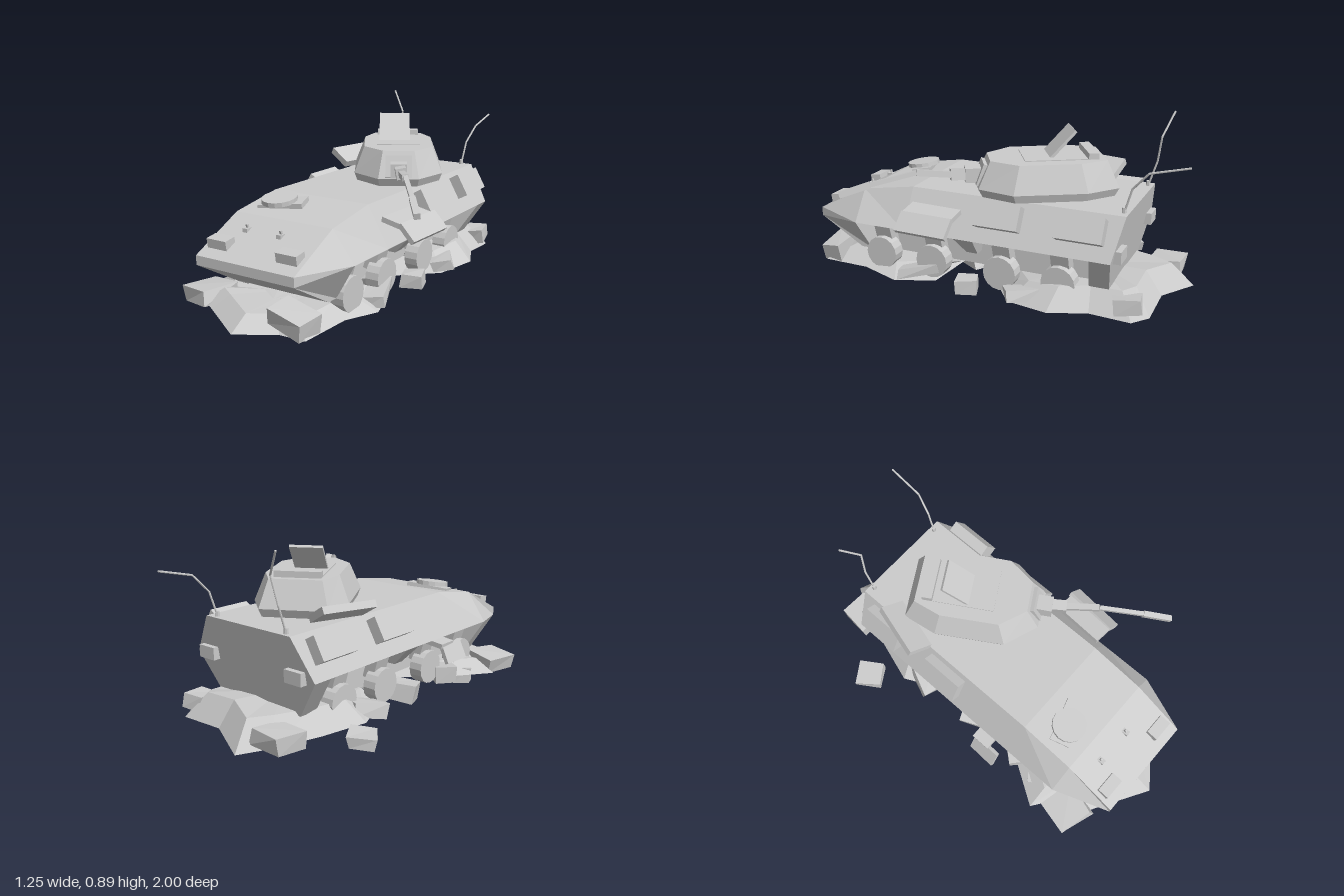
import * as THREE from 'three';

const mat = new THREE.MeshStandardMaterial({ color: 0xcccccc, flatShading: true, side: THREE.DoubleSide });

function add(parent, name, geo, pos = [0, 0, 0], rot = [0, 0, 0]) {
  const m = new THREE.Mesh(geo, mat);
  m.name = name;
  m.position.set(...pos);
  m.rotation.set(...rot);
  parent.add(m);
  return m;
}
const box = (w, h, d) => new THREE.BoxGeometry(w, h, d);

// Skin a row of closed loops; each loop is a list of [x, y, z]
function loft(loops, capStart = true, capEnd = true) {
  const p = [], n = loops[0].length;
  const tri = (a, b, c) => p.push(...a, ...b, ...c);
  for (let i = 0; i + 1 < loops.length; i++)
    for (let j = 0; j < n; j++) {
      const k = (j + 1) % n, A = loops[i], B = loops[i + 1];
      tri(A[j], A[k], B[k]);
      tri(A[j], B[k], B[j]);
    }
  const last = loops[loops.length - 1];
  for (let j = 1; j + 1 < n; j++) {
    if (capStart) tri(loops[0][0], loops[0][j + 1], loops[0][j]);
    if (capEnd) tri(last[0], last[j], last[j + 1]);
  }
  const g = new THREE.BufferGeometry();
  g.setAttribute('position', new THREE.Float32BufferAttribute(p, 3));
  g.computeVertexNormals();
  return g;
}

// Mirrored four-corner section: upper and lower [halfWidth, y, z]
const section = ([w1, y1, z1], [w2, y2, z2]) =>
  [[w1, y1, z1], [-w1, y1, z1], [-w2, y2, z2], [w2, y2, z2]];

// Bent rod made of straight pieces
function rod(parent, name, pts, radii, sides = 6) {
  const g = new THREE.Group();
  g.name = name;
  for (let i = 0; i + 1 < pts.length; i++) {
    const a = new THREE.Vector3(...pts[i]), b = new THREE.Vector3(...pts[i + 1]);
    const m = add(g, name + 'Piece', new THREE.CylinderGeometry(radii[i], radii[i], a.distanceTo(b), sides));
    m.position.copy(a).lerp(b, 0.5);
    m.quaternion.setFromUnitVectors(new THREE.Vector3(0, 1, 0), b.sub(a).normalize());
  }
  parent.add(g);
}

const noise = (n) => { const s = Math.sin(n * 12.9898) * 43758.5453; return s - Math.floor(s); };

// Broken block: box with uneven corners
function chunk(parent, seed, [x, y, z], [w, h, d], rot) {
  const g = box(1, 1, 1), p = g.attributes.position;
  for (let i = 0; i < p.count; i++) {
    const c = [p.getX(i), p.getY(i), p.getZ(i)];
    const id = seed * 8 + (c[0] > 0) * 4 + (c[1] > 0) * 2 + (c[2] > 0);
    p.setXYZ(i, ...[w, h, d].map((s, k) => c[k] * s * (0.8 + 0.3 * noise(id + k * 97))));
  }
  g.computeVertexNormals();
  add(parent, 'rubbleBlock', g, [x, y, z], rot);
}

// Open-bottomed mound with an uneven ridge, rising towards the back by slope
function mound(parent, name, outline, [cx, cz], height, slope, seed) {
  const ring = (s, y, v) => outline.map(([x, z], i) => {
    const dz = (z - cz) * s;
    return [cx + (x - cx) * s, (y + v * noise(seed + i)) * (1 - slope * dz), cz + dz];
  });
  add(parent, name, loft([ring(1, 0.025, 0.04), ring(0.76, height * 0.75, 0.04), ring(0.3, height * 0.85, 0.02)], false, true));
}

export function createModel() {
  const root = new THREE.Group();
  root.name = 'wreckedArmouredVehicle';

  const hull = new THREE.Group();
  hull.name = 'hull';
  hull.position.x = -0.02;
  root.add(hull);
  add(hull, 'upperHull', loft([
    section([0.27, 0.51, -0.735], [0.38, 0.315, -0.70]),
    section([0.27, 0.51, 0.35], [0.38, 0.315, 0.35]),
    section([0.27, 0.463, 0.635], [0.38, 0.315, 0.63]),
    section([0.27, 0.325, 0.91], [0.27, 0.28, 0.91]),
  ]));
  add(hull, 'lowerRear', loft([
    section([0.38, 0.315, -0.70], [0.26, 0.13, -0.667]),
    section([0.38, 0.315, -0.60], [0.26, 0.13, -0.57]),
  ]));
  add(hull, 'lowerNose', loft([
    section([0.38, 0.315, 0.63], [0.27, 0.14, 0.61]),
    section([0.27, 0.28, 0.91], [0.27, 0.14, 0.67]),
  ]));
  add(hull, 'lowerTub', box(0.4, 0.19, 1.22), [0, 0.222, 0.02]);

  // Wheels, struts and axles
  for (const z of [0.53, 0.24, -0.13, -0.43]) {
    for (const s of [-1, 1]) {
      add(hull, 'wheel', new THREE.CylinderGeometry(0.085, 0.085, 0.07, 16), [s * 0.272, 0.14, z], [0, 0, Math.PI / 2]);
      add(hull, 'strut', box(0.06, 0.15, 0.09), [s * 0.25, 0.24, z], [0, 0, -s * 0.3]);
    }
    add(hull, 'axle', new THREE.CylinderGeometry(0.025, 0.025, 0.54, 8), [0, 0.14, z], [0, 0, Math.PI / 2]);
  }

  // Side fittings, nose lamps, tow hooks and tail lamps
  for (const s of [-1, 1]) {
    for (const z of [-0.14, -0.545])
      add(hull, 'sidePanel', box(0.1, 0.12, 0.225), [s * 0.32, 0.435, z], [0, 0, s * 0.513]);
    add(hull, 'sideBracket', loft([
      [[s * 0.2, 0.2, 0.01], [s * 0.25, 0.2, 0.01], [s * 0.25, 0.2, 0.07], [s * 0.2, 0.2, 0.07]],
      [[s * 0.2, 0.315, -0.01], [s * 0.36, 0.315, -0.01], [s * 0.36, 0.315, 0.1], [s * 0.2, 0.315, 0.1]],
    ]));
    add(hull, 'noseLamp', box(0.11, 0.06, 0.06), [s * 0.192, 0.37, 0.83], [0.15, 0, 0]);
    add(hull, 'towHook', box(0.025, 0.025, 0.035), [s * 0.095 - 0.036, 0.415, 0.725]);
    add(hull, 'towHookPin', box(0.01, 0.04, 0.01), [s * 0.095 - 0.036, 0.425, 0.72], [0.3, 0, 0]);
    add(hull, 'tailLamp', box(0.1, 0.06, 0.05), [s * 0.28, 0.33, -0.71]);
  }
  add(root, 'leftOpenFlap', box(0.105, 0.025, 0.28), [0.448, 0.395, 0.19], [0.02, -0.08, -0.8]);
  add(root, 'leftFlapHinge', box(0.11, 0.025, 0.27), [0.365, 0.43, 0.19], [0, -0.05, -0.2]);
  add(root, 'rightOpenFlap', box(0.02, 0.1, 0.15), [-0.463, 0.253, 0.235], [0, -0.04, -0.45]);
  add(root, 'rightFlapHinge', box(0.12, 0.025, 0.1), [-0.395, 0.3, 0.2], [0, 0, 0.12]);

  // Driver hatch
  add(root, 'driverHatchBase', box(0.22, 0.04, 0.1), [-0.13, 0.485, 0.49], [0.14, 0.3, 0.06]);
  add(root, 'driverHatch', new THREE.CylinderGeometry(0.085, 0.085, 0.022, 16), [-0.14, 0.515, 0.505], [0.15, 0, 0]);

  // Turret, turned to its left
  const turret = new THREE.Group();
  turret.name = 'turret';
  turret.position.set(0.035, 0, -0.28);
  turret.rotation.y = 0.54;
  root.add(turret);
  const half = [[0.16, -0.315], [0.226, -0.15], [0.222, 0.2], [0.1, 0.35]];
  const ring = (sx, sz, y) => [
    ...half.map(([x, z]) => [-x * sx, y, z * sz]),
    ...half.slice().reverse().map(([x, z]) => [x * sx, y, z * sz])];
  add(turret, 'turretShell', loft([ring(0.94, 0.94, 0.52), ring(1, 1, 0.56), ring(0.78, 0.83, 0.69)]));
  add(turret, 'turretRing', new THREE.CylinderGeometry(0.18, 0.18, 0.03, 16), [0, 0.513, 0]);
  add(turret, 'roofPlate', box(0.22, 0.006, 0.3), [0, 0.691, -0.02]);
  add(turret, 'roofSight', box(0.22, 0.03, 0.05), [0, 0.705, -0.2]);
  add(turret, 'openHatchLid', box(0.16, 0.178, 0.014), [-0.018, 0.752, -0.06], [-0.75, 0, 0]);
  add(turret, 'mantlet', box(0.13, 0.11, 0.06), [0, 0.61, 0.31], [-0.35, 0, 0]);
  add(turret, 'gunCollar', box(0.08, 0.07, 0.1), [0, 0.61, 0.355]);

  // Bent gun
  rod(root, 'gun', [[0.22, 0.61, 0.02], [0.29, 0.613, 0.12], [0.385, 0.632, 0.25], [0.52, 0.588, 0.425], [0.608, 0.548, 0.54]],
    [0.037, 0.021, 0.015, 0.02], 4);

  // Torn storage bin beside the turret
  add(root, 'tornBin', box(0.13, 0.035, 0.28), [-0.31, 0.563, -0.42], [0.02, -0.27, -0.5]);

  // Bent aerials
  for (const x of [-0.245, 0.2])
    add(root, 'aerialBase', new THREE.CylinderGeometry(0.01, 0.012, 0.03, 6), [x, 0.52, -0.71]);
  rod(root, 'rightAerial', [[-0.245, 0.51, -0.71], [-0.242, 0.64, -0.75], [-0.22, 0.77, -0.77], [-0.297, 0.885, -0.81]], [0.005, 0.005, 0.005]);
  rod(root, 'leftAerial', [[0.2, 0.51, -0.71], [0.21, 0.63, -0.745], [0.23, 0.715, -0.82], [0.23, 0.76, -0.998]], [0.005, 0.005, 0.005]);

  // Rubble under the vehicle
  const rubble = new THREE.Group();
  rubble.name = 'rubble';
  root.add(rubble);
  mound(rubble, 'frontMound', [[-0.02, 1], [0.14, 0.88], [0.28, 0.88], [0.3, 0.62], [0.35, 0.42], [0.28, 0.22],
    [-0.1, 0.18], [-0.36, 0.36], [-0.5, 0.58], [-0.38, 0.66], [-0.36, 0.8], [-0.27, 0.85]], [-0.03, 0.58], 0.115, 0, 3);
  mound(rubble, 'rearMound', [[0.35, -0.2], [0.41, -0.42], [0.33, -0.6], [0.33, -0.8], [0.27, -0.87], [0.03, -0.87],
    [-0.2, -0.98], [-0.28, -0.84], [-0.36, -0.62], [-0.43, -0.4], [-0.27, -0.08], [0.1, -0.02]],
  [-0.02, -0.52], 0.165, 0.7, 21);
  [
    [[-0.385, 0.08, 0.735], [0.18, 0.08, 0.18], [0, -0.26, 0.12]],
    [[0.185, 0.105, 0.84], [0.2, 0.09, 0.13], [0.12, -0.15, -0.2]],
    [[-0.54, 0.067, -0.55], [0.13, 0.055, 0.14], [0, 0.6, 0.05]],
    [[-0.305, 0.085, -0.82], [0.17, 0.085, 0.17], [0.05, -0.05, 0.05]],
    [[0.31, 0.07, 0.03], [0.11, 0.07, 0.11], [0, 0.3, 0]],
    [[-0.3, 0.075, 0.02], [0.2, 0.09, 0.14], [0.1, 0.4, 0.1]],
    [[0.28, 0.08, 0.32], [0.12, 0.05, 0.2], [0.2, 0.4, 0.1]],
    [[-0.33, 0.08, 0.36], [0.12, 0.09, 0.13], [0.1, 0.8, -0.1]],
    [[0.32, 0.075, -0.26], [0.12, 0.06, 0.17], [0, 0.5, 0.2]],
    [[-0.34, 0.08, -0.3], [0.14, 0.07, 0.18], [0.2, -0.4, 0]],
    [[0.28, 0.1, -0.77], [0.1, 0.08, 0.14], [0.1, 0.2, 0.1]],
    [[0, 0.085, 0.1], [0.3, 0.07, 0.16], [0.2, 0.7, 0.1]],
    [[0.12, 0.09, 0.24], [0.18, 0.06, 0.1], [0.4, 0.2, 0.3]],
    [[-0.13, 0.1, -0.02], [0.14, 0.09, 0.16], [0.1, 1, 0.3]],
    [[-0.35, 0.045, 0.5], [0.1, 0.09, 0.1], [0, 0.5, 0]],
  ].forEach(([pos, size, rot], i) => chunk(rubble, i + 1, pos, size, rot));
  return root;
}
